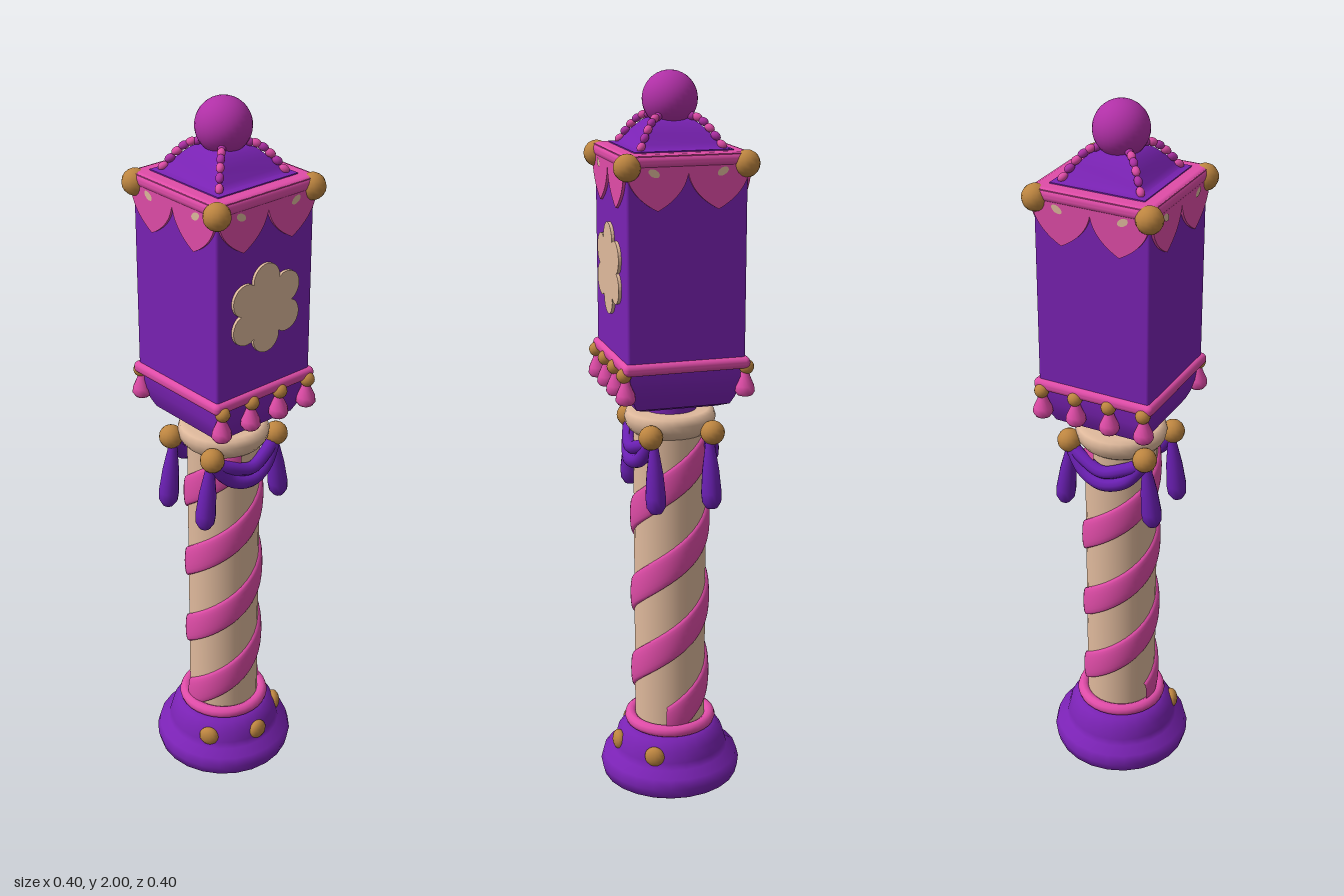
import * as THREE from 'three';
import { toCreasedNormals } from 'three/addons/utils/BufferGeometryUtils.js';
import { RoundedBoxGeometry } from 'three/addons/geometries/RoundedBoxGeometry.js';
import { ParametricGeometry } from 'three/addons/geometries/ParametricGeometry.js';

const mat = (name, color, side = THREE.FrontSide) => {
  const m = new THREE.MeshStandardMaterial({ color, side });
  m.name = name;
  return m;
};

export function createModel() {
  const purple = mat('purple', 0x7a22b4);
  const violet = mat('violet cloth', 0x6a1fb2);
  const pink = mat('pink', 0xe04ca8, THREE.DoubleSide);
  const cream = mat('cream', 0xdfb99c);
  const gold = mat('gold', 0xbd8540);
  const magenta = mat('magenta', 0xb030a6);

  const model = new THREE.Group();
  model.name = 'lampPost';
  const add = (name, geo, material, x = 0, y = 0, z = 0, parent = model) => {
    const mesh = new THREE.Mesh(geo, material);
    mesh.name = name;
    mesh.position.set(x, y, z);
    parent.add(mesh);
    return mesh;
  };
  const lathe = (pts, seg) => new THREE.LatheGeometry(pts.map(p => new THREE.Vector2(p[0], p[1])), seg);
  // Four-sided turned form; radii are given as half widths
  const square = pts => toCreasedNormals(
    lathe(pts.map(p => [p[0] * Math.SQRT2, p[1]]), 4).rotateY(Math.PI / 4), 0.7);
  const ball = r => new THREE.SphereGeometry(r, 14, 10);
  const corners = [[1, 1], [1, -1], [-1, 1], [-1, -1]];

  // Base with studs around its front
  add('base', lathe([[0, 0], [0.17, 0], [0.193, 0.014], [0.2, 0.042], [0.193, 0.07], [0.165, 0.085],
    [0.16, 0.105], [0.152, 0.135], [0.135, 0.16], [0.115, 0.17], [0, 0.17]], 24), purple);
  for (const a of [-1, 0, 1]) {
    const stud = add('baseStud', ball(0.029), gold, 0.152 * Math.sin(a), 0.12, 0.152 * Math.cos(a));
    stud.rotation.y = a;
    stud.scale.z = 0.65;
  }
  add('baseRing', new THREE.TorusGeometry(0.113, 0.017, 10, 32).rotateX(Math.PI / 2), pink, 0, 0.182, 0);

  // Column with two raised spiral stripes
  add('column', new THREE.CylinderGeometry(0.1, 0.1, 0.9, 32), cream, 0, 0.62, 0);
  const pitch = 0.47, yLow = 0.2, yHigh = 1.03;
  for (const y0 of [0.345, 0.58]) {
    const band = new ParametricGeometry((u, v, out) => {
      const yc = yLow + u * (yHigh - yLow);
      const a = (yc - y0) / pitch * Math.PI * 2;
      const r = 0.098 + 0.013 * Math.sqrt(Math.sin(v * Math.PI) + 1e-9);
      out.set(r * Math.sin(a), yc - 0.05 * Math.cos(v * Math.PI), r * Math.cos(a));
    }, 90, 10);
    add('spiralStripe', band, pink);
  }

  // Capital and neck
  add('capital', lathe([[0.09, 1.035], [0.11, 1.05], [0.121, 1.065], [0.125, 1.085], [0.12, 1.102],
    [0.105, 1.107], [0, 1.107]], 28), cream);
  add('neck', new THREE.CylinderGeometry(0.073, 0.073, 0.06, 24), purple, 0, 1.12, 0);

  // Draped cloth: knobs, hanging ends and swags
  const endGeo = lathe([[0, -0.2], [0.015, -0.197], [0.026, -0.18], [0.028, -0.155], [0.023, -0.09],
    [0.014, -0.03], [0.01, 0]], 14);
  for (const [sx, sz] of corners) {
    add('drapeKnob', ball(0.033), gold, sx * 0.114, 1.06, sz * 0.086);
    const end = add('drapeEnd', endGeo, violet, sx * 0.113, 1.05, sz * 0.078);
    end.rotation.z = sx * 0.12;
  }
  for (const s of [1, -1]) {
    for (const [dip, r] of [[0.968, 0.02], [1.005, 0.018]]) {
      const path = new THREE.CatmullRomCurve3([[-0.11, 1.045, 0.083], [-0.062, dip + 0.018, 0.1],
        [0, dip, 0.112], [0.062, dip + 0.018, 0.1], [0.11, 1.045, 0.083]]
        .map(p => new THREE.Vector3(p[0], p[1], p[2] * s)));
      add('swag', new THREE.TubeGeometry(path, 24, r, 10), violet);
    }
  }

  // Lantern box
  add('lanternFoot', square([[0, 1.127], [0.1, 1.13], [0.128, 1.142], [0.139, 1.165], [0.15, 1.2],
    [0.15, 1.25]]), purple);
  add('lanternBody', new RoundedBoxGeometry(0.32, 0.55, 0.32, 2, 0.008), purple, 0, 1.52, 0);
  add('lowerTrim', new RoundedBoxGeometry(0.345, 0.032, 0.345, 3, 0.014), pink, 0, 1.26, 0);
  add('upperTrim', new RoundedBoxGeometry(0.342, 0.036, 0.342, 3, 0.016), pink, 0, 1.79, 0);

  // Six-petal flower plate on the front
  const petals = [];
  for (let i = 0; i < 96; i++) {
    const a = i / 96 * Math.PI * 2;
    const r = 0.085 + 0.036 * Math.pow(Math.abs(Math.sin(3 * a)), 0.7);
    petals.push(new THREE.Vector2(r * Math.cos(a), r * Math.sin(a)));
  }
  add('flower', new THREE.ExtrudeGeometry(new THREE.Shape(petals), { depth: 0.009, bevelEnabled: false }),
    cream, -0.003, 1.498, 0.159);

  // Scalloped valance, two scallops with a pale fleck on each side
  const scallop = new THREE.Shape();
  scallop.moveTo(-0.08, 0.02);
  scallop.lineTo(-0.08, -0.025);
  scallop.bezierCurveTo(-0.072, -0.07, -0.035, -0.1, 0, -0.118);
  scallop.bezierCurveTo(0.035, -0.1, 0.072, -0.07, 0.08, -0.025);
  scallop.lineTo(0.08, 0.02);
  const scallopGeo = new THREE.ExtrudeGeometry(scallop, { depth: 0.008, bevelEnabled: false });
  const fleckGeo = new THREE.CircleGeometry(0.016, 12).scale(1, 0.6, 1);
  for (let i = 0; i < 4; i++) {
    const side = new THREE.Group();
    side.name = 'valance';
    side.rotation.y = i * Math.PI / 2;
    for (const s of [-1, 1]) {
      add('scallop', scallopGeo, pink, s * 0.08, 1.785, 0.159, side);
      add('fleck', fleckGeo, cream, s * 0.09, 1.762, 0.1685, side).rotation.z = s * 0.5;
    }
    model.add(side);
  }

  // Tassels along the front and back
  const tasselGeo = lathe([[0, -0.072], [0.02, -0.071], [0.027, -0.06], [0.025, -0.045], [0.014, -0.02],
    [0.009, 0]], 12);
  for (const s of [1, -1]) {
    for (const x of [-0.148, -0.049, 0.049, 0.148]) {
      add('tassel', tasselGeo, pink, x, 1.24, s * 0.163);
      add('tasselKnob', ball(0.02), gold, x, 1.245, s * 0.167);
    }
  }

  // Roof, corner knobs, beaded ropes and finial
  add('roof', square([[0.13, 1.8], [0.13, 1.811], [0.112, 1.813], [0.1, 1.824], [0.08, 1.85],
    [0.058, 1.872], [0.035, 1.885], [0, 1.89]]), purple);
  for (const [sx, sz] of corners) {
    add('cornerKnob', ball(0.035), gold, sx * 0.156, 1.777, sz * 0.156);
    for (let i = 0; i < 6; i++) {
      const t = i / 5, d = 0.106 - 0.062 * t;
      const bead = add('ropeBead', ball(0.0105), i % 2 ? magenta : pink, sx * d, 1.82 + 0.068 * Math.sin(t * 1.57), sz * d);
      bead.lookAt(0, 1.92, 0);
      bead.scale.z = 1.4;
    }
  }
  add('finial', new THREE.SphereGeometry(0.072, 28, 20), magenta, 0, 1.928, 0);

  return model;
}
